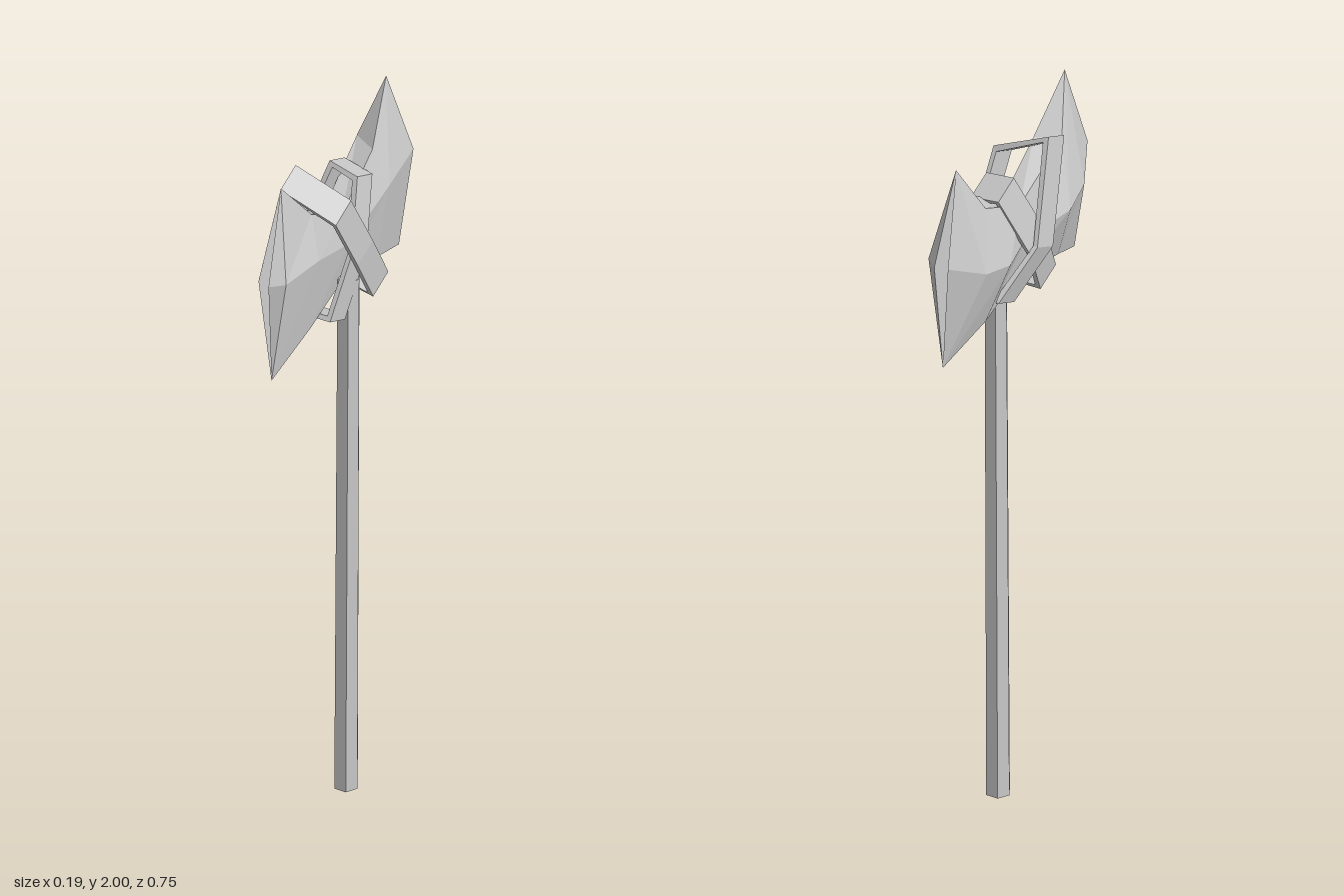
import * as THREE from 'three';

const V = (x, y, z) => new THREE.Vector3(x, y, z);
const stone = new THREE.MeshStandardMaterial({ color: 0xcccccc, flatShading: true });

// Skins a list of equal-sized point rings; either joins the ends or caps them.
function skin(rings, closed) {
  const n = rings[0].length;
  const tris = [];
  const last = closed ? rings.length : rings.length - 1;
  for (let i = 0; i < last; i++) {
    const a = rings[i], b = rings[(i + 1) % rings.length];
    for (let j = 0; j < n; j++) {
      const k = (j + 1) % n;
      tris.push([a[j], a[k], b[k]], [a[j], b[k], b[j]]);
    }
  }
  if (!closed) {
    const a = rings[0], b = rings[rings.length - 1];
    for (let j = 1; j < n - 1; j++) {
      tris.push([a[0], a[j + 1], a[j]], [b[0], b[j], b[j + 1]]);
    }
  }
  // Drop collapsed triangles and make the faces point outwards
  const solid = tris.filter(([p, q, r]) => new THREE.Triangle(p, q, r).getArea() > 1e-7);
  const volume = solid.reduce((s, [p, q, r]) => s + p.dot(q.clone().cross(r)), 0);
  const points = solid.flatMap(([p, q, r]) => (volume < 0 ? [p, r, q] : [p, q, r]));
  const geometry = new THREE.BufferGeometry().setFromPoints(points);
  geometry.computeVertexNormals();
  return geometry;
}

function addMesh(group, name, geometry) {
  const mesh = new THREE.Mesh(geometry, stone);
  mesh.name = name;
  group.add(mesh);
  return mesh;
}

// Double-bladed head: half cross-sections, mirrored in z and turned slightly
function headGeometry() {
  const tip = [0, 2, 0.285], heel = [0.005, 1.445, 0.345];
  const middle = [
    [-0.028, 1.755, 0], [0.025, 1.755, 0], [0.045, 1.67, 0],
    [0.025, 1.55, 0], [-0.025, 1.55, 0], [-0.045, 1.66, 0],
  ];
  const shoulder = [
    [-0.04, 1.855, 0.2], [0.025, 1.855, 0.165], [0.061, 1.74, 0.19],
    [0.03, 1.515, 0.18], [-0.035, 1.515, 0.19], [-0.09, 1.68, 0.157],
  ];
  const bevel = [tip, tip, [0.048, 1.755, 0.345], heel, heel, [-0.075, 1.7, 0.256]];
  const edge = [tip, tip, [0.013, 1.755, 0.376], heel, heel, [-0.022, 1.755, 0.366]];
  const half = [middle, shoulder, bevel, edge];
  const place = (side) => (ring) =>
    ring.map(([x, y, z]) => V(x + side * z * 0.05, y, side * z));
  const back = half.slice(1).reverse().map(place(-1));
  return skin([...back, ...half.map(place(1))], false);
}

// Flat strap: a thin rectangular section carried round a closed path
function strapGeometry(path, across) {
  const pts = path.map((p) => V(...p));
  const centre = pts.reduce((s, p) => s.add(p), V(0, 0, 0)).divideScalar(pts.length);
  const half = V(...across).normalize().multiplyScalar(0.041);
  const rings = pts.map((p) => {
    const inner = p.clone();
    inner.x -= Math.sign(p.x) * 0.012;
    inner.y += (centre.y - p.y) * 0.07;
    inner.z += (centre.z - p.z) * 0.07;
    return [
      p.clone().add(half), p.clone().sub(half),
      inner.clone().sub(half), inner.clone().add(half),
    ];
  });
  return skin(rings, true);
}

export function createModel() {
  const model = new THREE.Group();
  model.name = 'doubleAxe';

  // Six-sided shaft, leaning a touch
  const shaft = new THREE.CylinderGeometry(0.032, 0.034, 1.58, 6);
  shaft.rotateY(Math.PI / 6);
  const pos = shaft.attributes.position;
  for (let i = 0; i < pos.count; i++) {
    const t = pos.getY(i) / 1.58 + 0.5;
    pos.setXYZ(i, pos.getX(i) + 0.038 + 0.012 * t, t * 1.58, pos.getZ(i) + 0.002 + 0.008 * t);
  }
  addMesh(model, 'shaft', shaft);

  addMesh(model, 'bladeHead', headGeometry());

  // Two straps crossing over the middle of the head
  addMesh(model, 'tallStrap', strapGeometry([
    [-0.062, 1.91, 0.122], [0.092, 1.845, 0.105], [0.094, 1.66, 0],
    [0.08, 1.5, -0.1], [-0.05, 1.525, -0.1], [-0.098, 1.65, 0.01],
  ], [0, 0.4, -0.92]));
  addMesh(model, 'shortStrap', strapGeometry([
    [-0.042, 1.85, -0.088], [0.045, 1.835, -0.08], [0.082, 1.66, 0.01],
    [0.07, 1.5, 0.098], [-0.05, 1.5, 0.102], [-0.085, 1.66, 0],
  ], [0, 0.42, 0.9]));

  return model;
}
